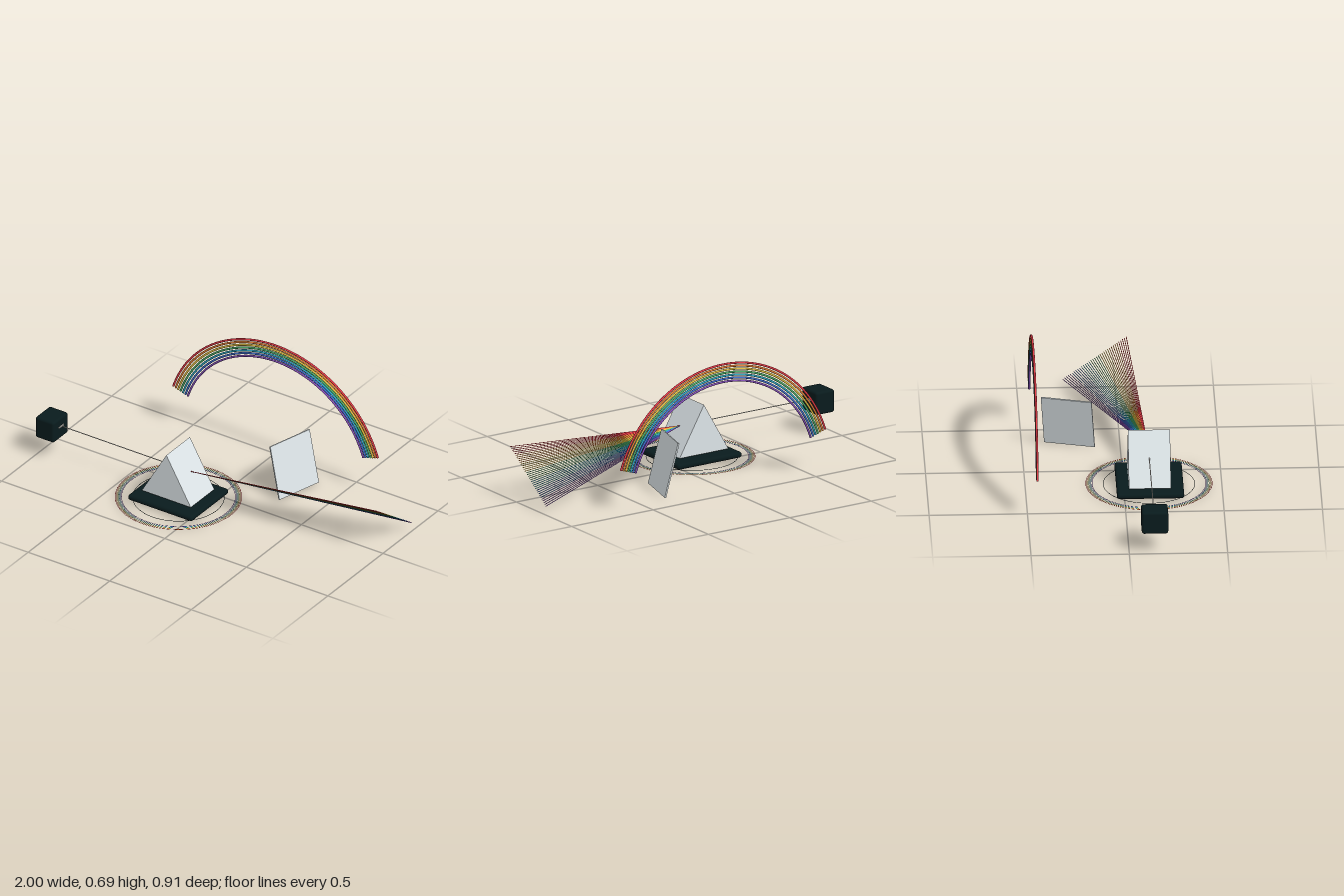
import * as THREE from 'three';
import { RoundedBoxGeometry } from 'three/addons/geometries/RoundedBoxGeometry.js';

const mat = (name, color, side = THREE.FrontSide) => {
  const m = new THREE.MeshStandardMaterial({ color, side });
  m.name = name;
  return m;
};

export function createModel() {
  const model = new THREE.Group();
  model.name = 'prismExperiment';

  const dark = mat('dark teal', 0x091b1d);
  const glass = mat('pale glass', 0xdde5e8);
  const light = mat('white light', 0xfaf7ee);
  const spectrum = [
    ['red', 0xe63946], ['orange', 0xf4893b], ['yellow', 0xf7d04a], ['green', 0x4caf6a],
    ['blue', 0x2fa8c4], ['indigo', 0x3f6fd0], ['violet', 0x8450b8],
  ].map(([n, c]) => mat(n, c, THREE.DoubleSide));

  const add = (name, geometry, material, x = 0, y = 0, z = 0, parent = model) => {
    const mesh = new THREE.Mesh(geometry, material);
    mesh.name = name;
    mesh.position.set(x, y, z);
    parent.add(mesh);
    return mesh;
  };
  const group = (name) => {
    const g = new THREE.Group();
    g.name = name;
    model.add(g);
    return g;
  };
  // Thin straight rod between two points
  const rod = (name, a, b, r, material, parent) => {
    const dir = b.clone().sub(a);
    const mid = a.clone().add(b).multiplyScalar(0.5);
    const mesh = add(name, new THREE.CylinderGeometry(r, r, dir.length(), 8), material,
      mid.x, mid.y, mid.z, parent);
    mesh.quaternion.setFromUnitVectors(new THREE.Vector3(0, 1, 0), dir.normalize());
  };

  const cx = -0.166, cz = 0.13;

  // Plinth and triangular prism
  add('plinth', new RoundedBoxGeometry(0.395, 0.031, 0.342, 4, 0.0145), dark, cx, 0.0205, cz + 0.002);
  const tri = new THREE.Shape();
  tri.moveTo(-0.15, 0.045);
  tri.lineTo(0.15, 0.045);
  tri.lineTo(0, 0.305);
  tri.closePath();
  add('prism', new THREE.ExtrudeGeometry(tri, { depth: 0.214, bevelEnabled: false }), glass,
    cx - 0.002, 0, cz - 0.107);

  // Lamp with its slit and the incoming beam
  add('lamp', new RoundedBoxGeometry(0.115, 0.121, 0.135, 4, 0.013), dark, -0.9425, 0.169, 0.131);
  add('lampSlit', new THREE.BoxGeometry(0.006, 0.008, 0.042), light, -0.884, 0.18, 0.131);
  rod('incomingBeam', new THREE.Vector3(-0.885, 0.18, 0.129), new THREE.Vector3(-0.235, 0.18, 0.129),
    0.0024, light, model);

  // Fan of coloured rays leaving the prism
  const fan = group('rayFan');
  const apex = new THREE.Vector3(-0.09, 0.18, 0.128);
  const redTip = new THREE.Vector3(0.999, 0.28, 0.057);
  const violetTip = new THREE.Vector3(0.999, 0.047, -0.266);
  const rays = 35;
  for (let i = 0; i < rays; i++) {
    const tip = redTip.clone().lerp(violetTip, i / (rays - 1));
    rod('ray', apex, tip, 0.0018, spectrum[Math.floor(i * 7 / rays)], fan);
  }

  // Rainbow arch behind, with closed band ends
  const arch = group('rainbowArch');
  const sweep = Math.PI * 0.8;
  const tube = 0.0055;
  spectrum.forEach((m, i) => {
    const r = 0.659 - i * 0.0156;
    const band = add('archBand', new THREE.TorusGeometry(r, tube, 12, 80, sweep), m,
      0.037, 0.021, -0.4515, arch);
    band.rotation.z = (Math.PI - sweep) / 2;
    for (const a of [0, sweep]) {
      const cap = add('bandEnd', new THREE.CircleGeometry(tube, 12), m,
        r * Math.cos(a), r * Math.sin(a), 0, band);
      cap.rotation.set(Math.PI / 2, 0, a, 'ZYX');
    }
  });

  // Flat rings lying around the plinth
  const rings = group('groundRings');
  spectrum.forEach((m, i) => {
    const r = 0.323 - i * 0.0054;
    add('colourRing', new THREE.RingGeometry(r - 0.0026, r, 96), m, cx, 0.0045, cz, rings)
      .rotation.x = -Math.PI / 2;
  });
  add('innerRing', new THREE.TorusGeometry(0.233, 0.0012, 8, 96), dark, cx, 0.0012, cz, rings)
    .rotation.x = -Math.PI / 2;

  // Leaning glass screen
  const u = new THREE.Vector3(0.07, 0, -0.255).normalize();
  const v = new THREE.Vector3(-0.07, 0.285, -0.02).normalize();
  const n = u.clone().cross(v).normalize();
  const screen = add('screen', new THREE.BoxGeometry(0.264, 0.291, 0.008), glass, 0.276, 0.147, -0.266);
  screen.quaternion.setFromRotationMatrix(new THREE.Matrix4().makeBasis(u, n.clone().cross(u), n));

  return model;
}
